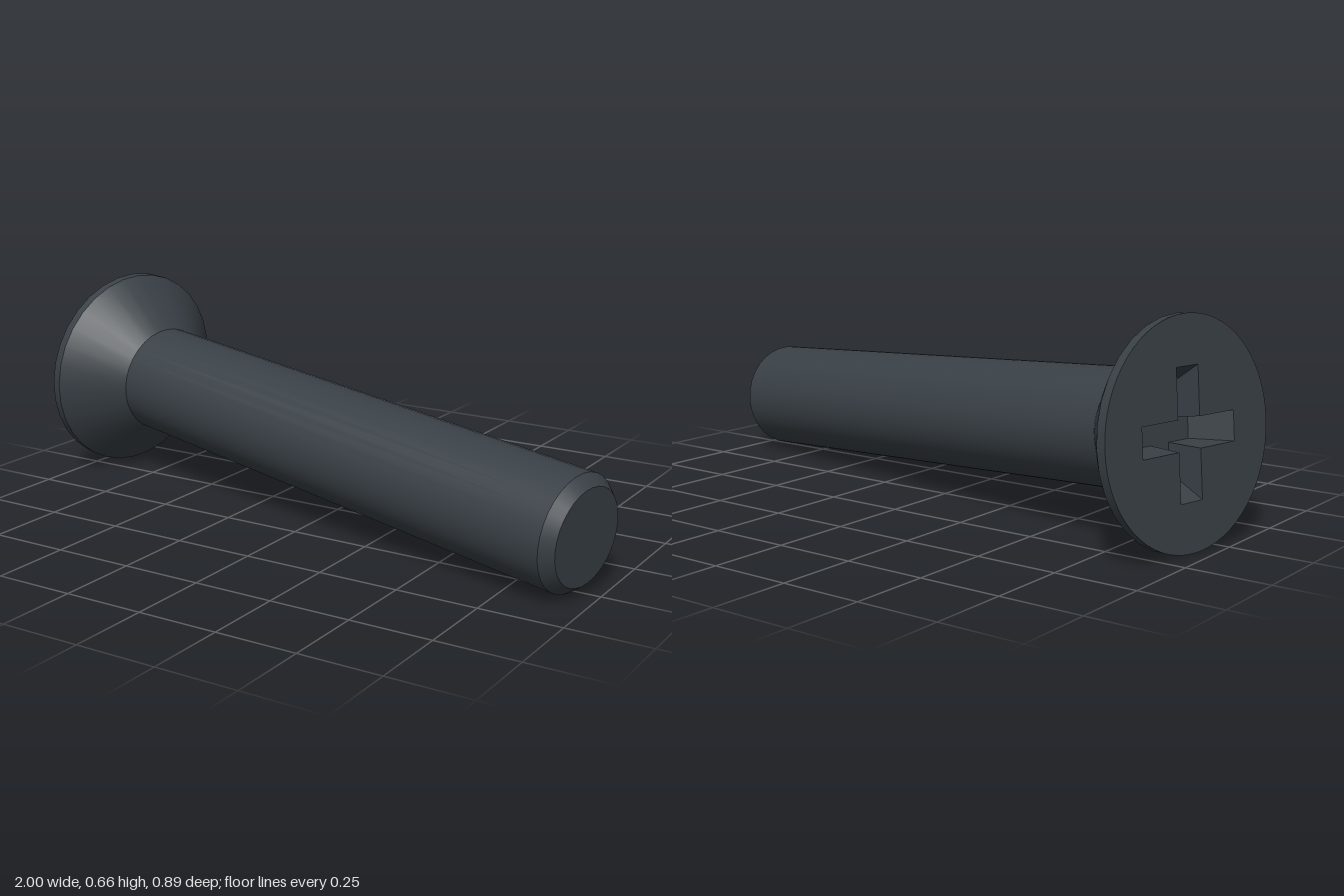
import * as THREE from 'three';

const SEGMENTS = 32;
const HEAD_R = 0.33, SHAFT_R = 0.175, TIP_R = 0.145;
const RIM_END = 0.03, CONE_END = 0.19, SHAFT_END = 1.909, TIP_END = 1.944;
const RECESS_DEPTH = 0.11;

// Outline of a plus sign, counter-clockwise
function crossPoints(length, width) {
  const points = [];
  for (let i = 0; i < 4; i++) {
    const turn = i * Math.PI / 2;
    for (const [x, y] of [[length, -width], [length, width], [width, width]]) {
      points.push(new THREE.Vector2(x, y).rotateAround(new THREE.Vector2(), turn));
    }
  }
  return points;
}

// Sloping walls between the mouth and the floor of the recess
function recessWalls(mouth, floor, depth) {
  const positions = [];
  mouth.forEach((a, i) => {
    const j = (i + 1) % mouth.length;
    const b = mouth[j], c = floor[j], d = floor[i];
    positions.push(a.x, a.y, 0, b.x, b.y, 0, c.x, c.y, -depth);
    positions.push(a.x, a.y, 0, c.x, c.y, -depth, d.x, d.y, -depth);
  });
  const geometry = new THREE.BufferGeometry();
  geometry.setAttribute('position', new THREE.Float32BufferAttribute(positions, 3));
  geometry.computeVertexNormals();
  return geometry;
}

export function createModel() {
  const model = new THREE.Group();
  model.name = 'countersunkScrew';
  const screw = new THREE.Group();
  screw.name = 'screw';
  model.add(screw);

  const steel = new THREE.MeshStandardMaterial({ color: 0x394046 });
  steel.name = 'dark steel';

  const add = (name, geometry) => {
    const mesh = new THREE.Mesh(geometry, steel);
    mesh.name = name;
    screw.add(mesh);
  };

  // Turned sections, running along local +y from the head to the tip
  const section = (name, y0, y1, r0, r1) => {
    const geometry = new THREE.CylinderGeometry(r1, r0, y1 - y0, SEGMENTS, 1, true);
    add(name, geometry.translate(0, (y0 + y1) / 2, 0));
  };
  section('headRim', 0, RIM_END, HEAD_R, HEAD_R);
  section('headCone', RIM_END, CONE_END, HEAD_R, SHAFT_R);
  section('shaft', CONE_END, SHAFT_END, SHAFT_R, SHAFT_R);
  section('tipChamfer', SHAFT_END, TIP_END, SHAFT_R, TIP_R);
  add('tipFace', new THREE.CircleGeometry(TIP_R, SEGMENTS)
    .rotateX(-Math.PI / 2).translate(0, TIP_END, 0));

  // Flat head face with a tapered cross recess
  const mouth = crossPoints(0.187, 0.044);
  const floor = crossPoints(0.12, 0.036);
  const face = new THREE.Shape().absarc(0, 0, HEAD_R, 0, Math.PI * 2, false);
  face.holes.push(new THREE.Path(mouth));
  add('headFace', new THREE.ShapeGeometry(face, SEGMENTS).rotateX(Math.PI / 2));
  add('recessWalls', recessWalls(mouth, floor, RECESS_DEPTH).rotateX(Math.PI / 2));
  add('recessFloor', new THREE.ShapeGeometry(new THREE.Shape(floor))
    .rotateX(Math.PI / 2).translate(0, RECESS_DEPTH, 0));

  // Lay the screw along its slanted axis
  const headCentre = new THREE.Vector3(-0.93, 0.332, -0.119);
  const tipCentre = new THREE.Vector3(0.966, 0.175, 0.283);
  const axis = tipCentre.sub(headCentre).normalize();
  const side = new THREE.Vector3().crossVectors(axis, new THREE.Vector3(0, 1, 0)).normalize();
  const up = new THREE.Vector3().crossVectors(side, axis);
  screw.quaternion.setFromRotationMatrix(new THREE.Matrix4().makeBasis(side, axis, up));
  screw.position.copy(headCentre);
  return model;
}
